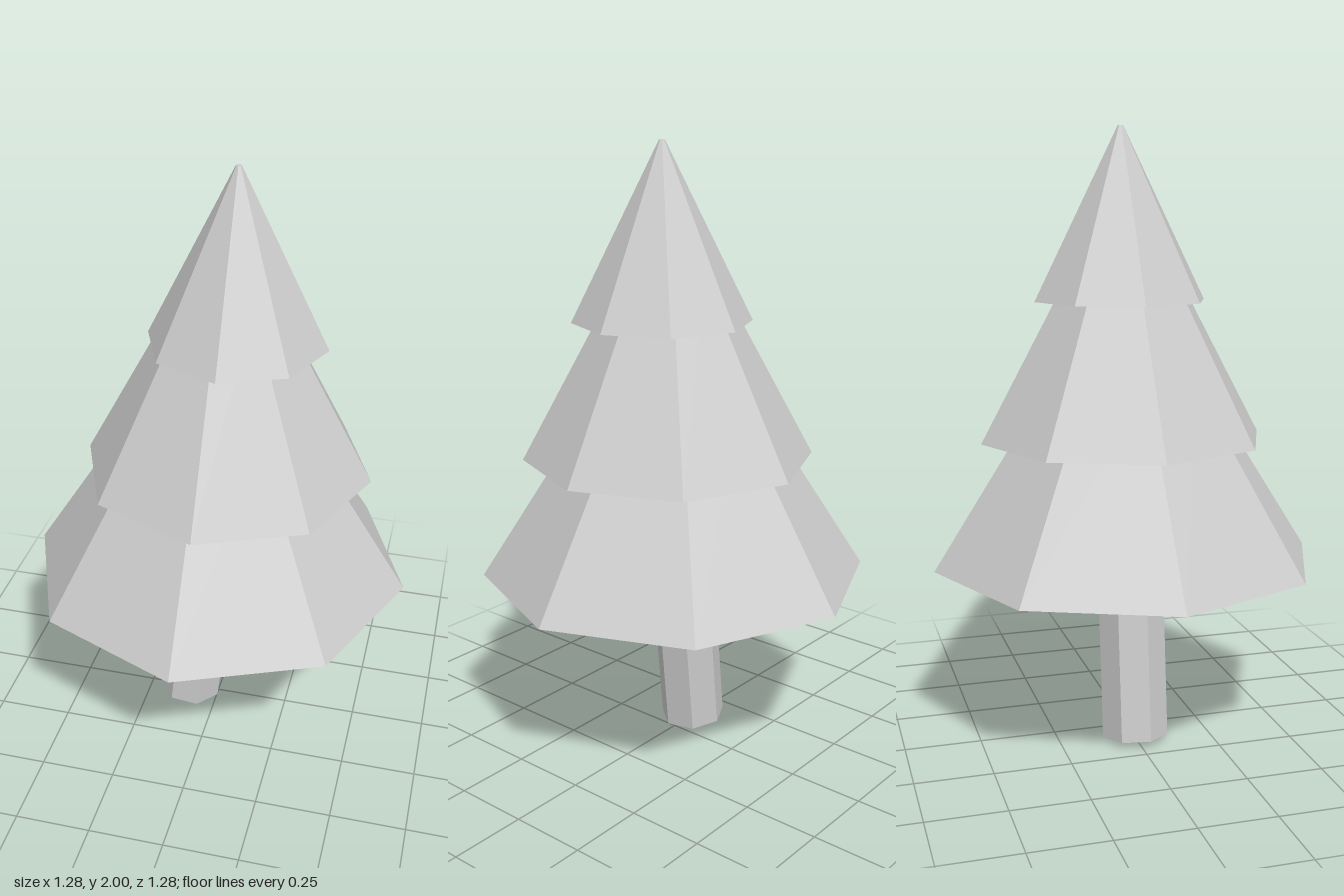
import * as THREE from 'three';

export function createModel() {
  const tree = new THREE.Group();
  tree.name = 'pineTree';
  const paleGrey = new THREE.MeshStandardMaterial({ color: 0xcccccc, flatShading: true });
  paleGrey.name = 'paleGrey';

  // Octagonal foliage tiers, each shifted a little along the lean
  const tiers = [
    { name: 'lowerFoliage', x: 0, y: 0.595, top: 1.2, r: 0.638, rTop: 0.25 },
    { name: 'middleFoliage', x: 0.03, y: 0.997, top: 1.6, r: 0.473, rTop: 0.145 },
    { name: 'upperFoliage', x: 0.06, y: 1.445, top: 2.0, r: 0.287, rTop: 0.009 },
  ];
  for (const { name, x, y, top, r, rTop } of tiers) {
    const tier = new THREE.Mesh(new THREE.CylinderGeometry(rTop, r, top - y, 8), paleGrey);
    tier.name = name;
    tier.position.set(x, (y + top) / 2, 0);
    tree.add(tier);
  }

  // Seven-sided leaning trunk, pivoted at the centre of its foot
  const height = 0.75;
  const trunkGeometry = new THREE.CylinderGeometry(0.11, 0.11, height, 7);
  trunkGeometry.rotateY(Math.PI).translate(0, height / 2, 0);
  const trunk = new THREE.Mesh(trunkGeometry, paleGrey);
  trunk.name = 'trunk';
  trunk.position.set(-0.104, 0.012, 0.002);
  trunk.rotation.z = -THREE.MathUtils.degToRad(6);
  tree.add(trunk);

  return tree;
}
